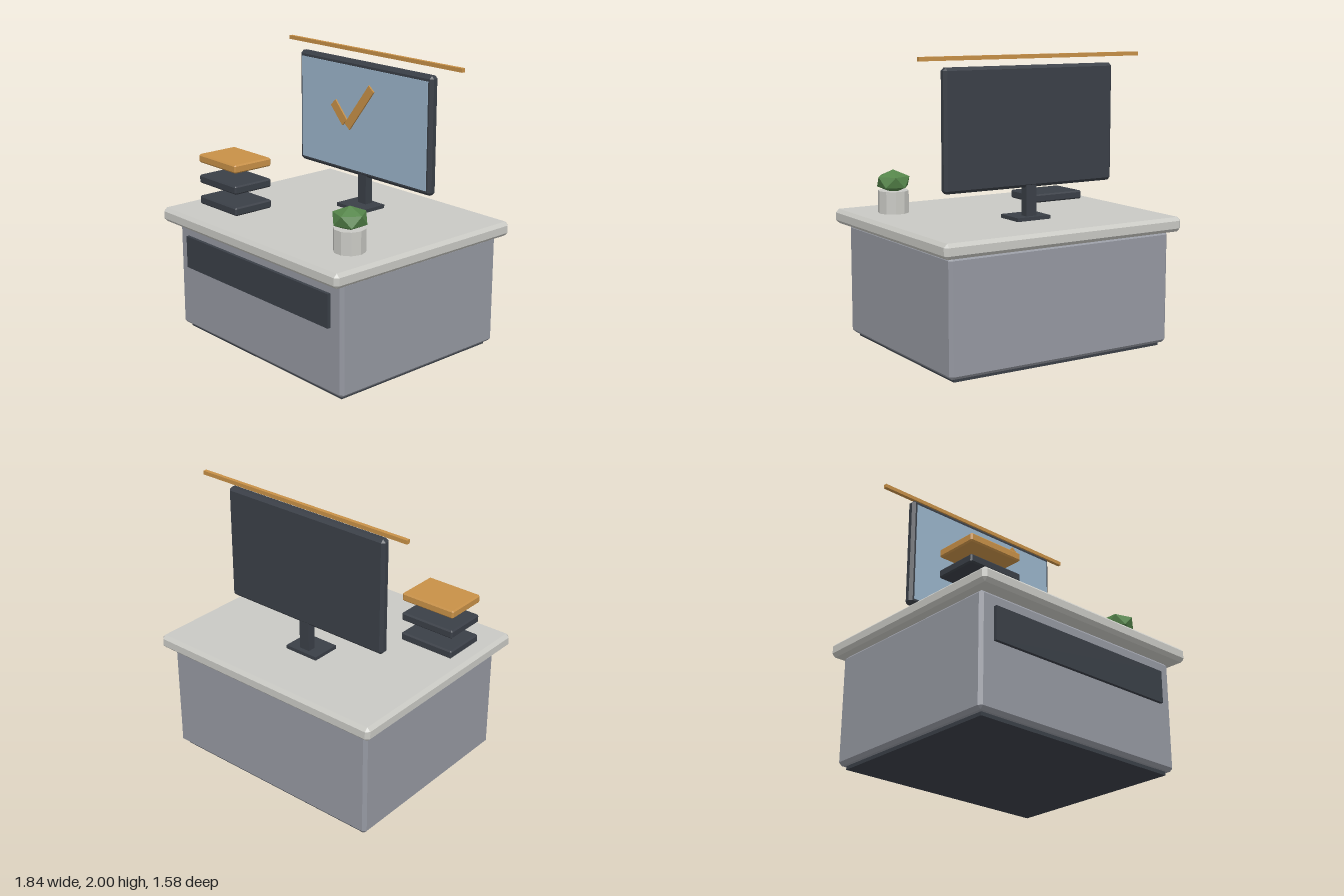
import * as THREE from 'three';
import { ConvexGeometry } from 'three/addons/geometries/ConvexGeometry.js';

const mat = (name, color) => new THREE.MeshStandardMaterial({ name, color });

// Box with all edges chamfered by c
function chamferBox(w, h, d, c) {
  const pts = [];
  for (const x of [-1, 1]) for (const y of [-1, 1]) for (const z of [-1, 1]) {
    const X = x * w / 2, Y = y * h / 2, Z = z * d / 2;
    pts.push(
      new THREE.Vector3(X, Y - y * c, Z - z * c),
      new THREE.Vector3(X - x * c, Y, Z - z * c),
      new THREE.Vector3(X - x * c, Y - y * c, Z));
  }
  return new ConvexGeometry(pts);
}

export function createModel() {
  const model = new THREE.Group();
  model.name = 'deskCounter';

  const grey = mat('cabinetGrey', 0x9598a1);
  const stone = mat('stone', 0xc9c9c4);
  const dark = mat('charcoal', 0x3a3f47);
  const glass = mat('screenBlue', 0x9ab4ca);
  const amber = mat('amber', 0xc79047);
  const green = mat('leafGreen', 0x55854a);

  const add = (name, geometry, material, x, y, z) => {
    const mesh = new THREE.Mesh(geometry, material);
    mesh.name = name;
    mesh.position.set(x, y, z);
    model.add(mesh);
    return mesh;
  };
  // Box given by its extents, with an optional chamfer
  const block = (name, material, [x0, x1], [y0, y1], [z0, z1], c = 0) => {
    const w = x1 - x0, h = y1 - y0, d = z1 - z0;
    const geometry = c ? chamferBox(w, h, d, c) : new THREE.BoxGeometry(w, h, d);
    return add(name, geometry, material, (x0 + x1) / 2, (y0 + y1) / 2, (z0 + z1) / 2);
  };

  // Counter
  block('plinth', dark, [-0.81, 0.81], [0, 0.1], [-0.685, 0.645]);
  block('cabinet', grey, [-0.855, 0.855], [0.025, 0.8], [-0.727, 0.687], 0.022);
  block('frontPanel', dark, [-0.75, 0.75], [0.48, 0.71], [0.68, 0.71]);
  block('worktop', stone, [-0.92, 0.92], [0.8, 0.9], [-0.79, 0.79], 0.024);

  // Monitor
  block('monitorBase', dark, [-0.13, 0.13], [0.9, 0.925], [-0.365, -0.153]);
  block('monitorPost', dark, [-0.04, 0.04], [0.92, 1.15], [-0.33, -0.27]);
  block('monitorCase', dark, [-0.66, 0.66], [1.12, 1.927], [-0.335, -0.265], 0.02);
  block('screen', glass, [-0.627, 0.627], [1.153, 1.89], [-0.268, -0.26]);

  // Rail above the monitor
  block('topRail', amber, [-0.855, 0.855], [1.973, 2], [-0.361, -0.334]);

  // Tick mark floating before the screen
  const shortStroke = add('tickShortStroke', new THREE.BoxGeometry(0.172, 0.064, 0.011), amber, -0.13, 1.573, -0.173);
  shortStroke.rotation.z = THREE.MathUtils.degToRad(-47);
  const longStroke = add('tickLongStroke', new THREE.BoxGeometry(0.382, 0.062, 0.011), amber, 0.085, 1.64, -0.162);
  longStroke.rotation.z = THREE.MathUtils.degToRad(51.5);

  // Stacked trays
  [0.902, 1.055, 1.205].forEach((y, i) =>
    block('tray' + (i + 1), i === 2 ? amber : dark, [-0.812, -0.393], [y, y + 0.06], [0.225, 0.54], 0.01));

  // Plant pot
  const pot = add('plantPot', new THREE.CylinderGeometry(0.107, 0.107, 0.155, 10).toNonIndexed(), stone, 0.64, 0.9775, 0.428);
  pot.geometry.computeVertexNormals();
  pot.rotation.y = Math.PI / 10;

  // Faceted, flattened foliage: two staggered rings between two poles
  const r = 0.126, ry = 0.082, leaf = [new THREE.Vector3(0, ry, 0), new THREE.Vector3(0, -ry, 0)];
  for (let i = 0; i < 10; i++) {
    const a = i * Math.PI / 5, s = i % 2 ? -1 : 1;
    leaf.push(new THREE.Vector3(Math.cos(a) * r * 0.894, s * ry * 0.447, Math.sin(a) * r * 0.894));
  }
  add('foliage', new ConvexGeometry(leaf), green, 0.64, 1.117, 0.427);

  return model;
}
